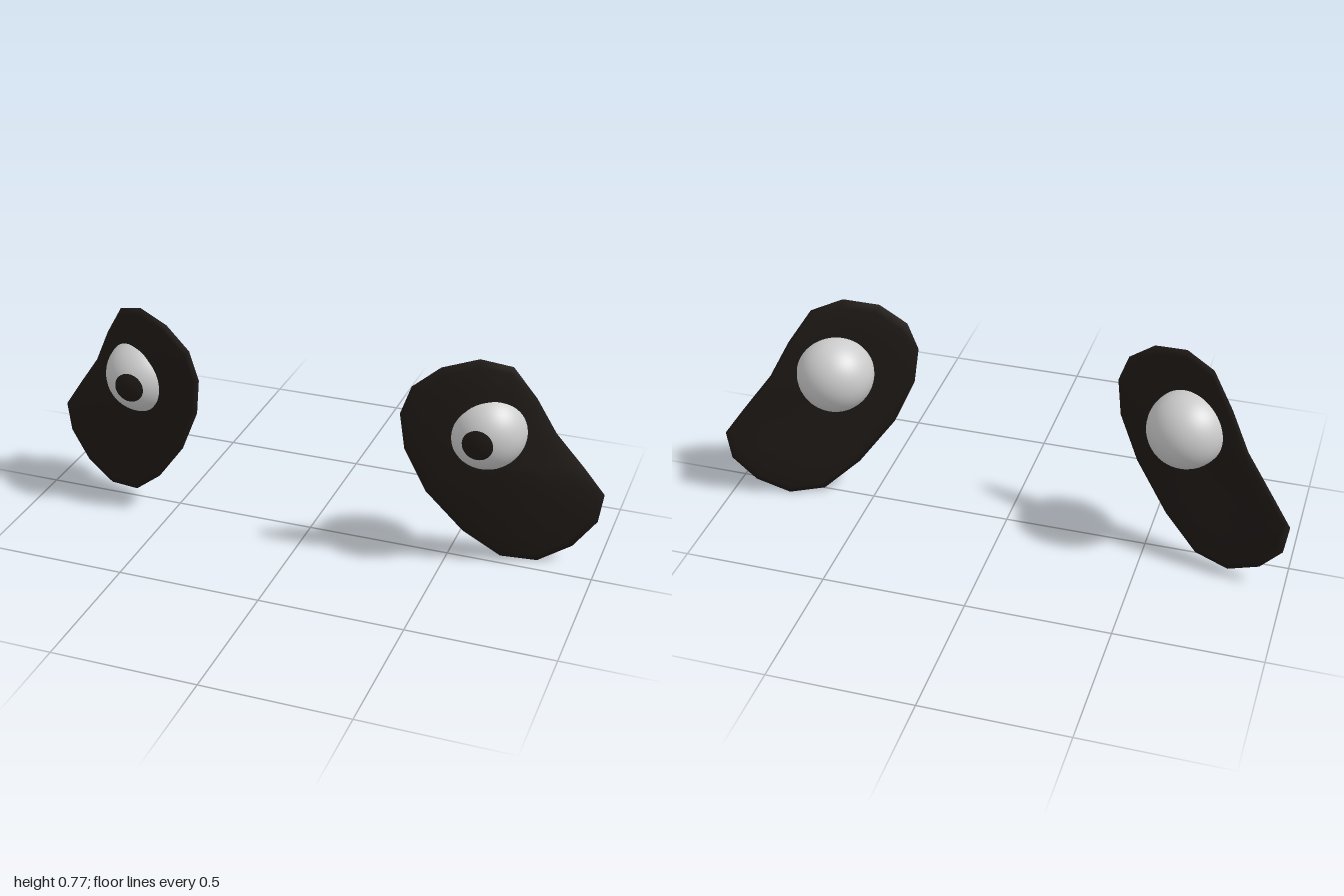
import * as THREE from 'three';

const DARK = 0x1e1916;

// Rim of the left patch, clockwise from the front: x, y, z
const RIM = [
  [0.355, 0.57, 0.125], [0.39, 0.67, 0.118], [0.48, 0.742, 0.095], [0.595, 0.77, 0.05],
  [0.695, 0.737, 0.002], [0.77, 0.62, -0.035], [0.835, 0.49, -0.065], [0.93, 0.36, -0.1],
  [1.0, 0.26, -0.122], [0.985, 0.155, -0.12], [0.91, 0.06, -0.095], [0.8, 0.0, -0.06],
  [0.68, 0.016, -0.02], [0.56, 0.12, 0.035], [0.44, 0.28, 0.09], [0.37, 0.44, 0.115],
];
const CENTRE = [0.66, 0.4, 0.005];

// Section from the middle of the back over the rim to the middle of the front:
// ring scale, z offset. The front is domed, the back nearly flat.
const PROFILE = [
  [0, -0.01], [0.4, -0.012], [0.75, -0.013], [0.93, -0.009], [1, 0],
  [0.93, 0.009], [0.75, 0.018], [0.4, 0.034], [0, 0.04],
];

// Thin, tilted kidney-shaped plate; side = -1 mirrors it
function patchGeometry(side) {
  const n = RIM.length;
  const positions = [];
  const index = [];
  for (const [s, d] of PROFILE) {
    for (const p of RIM) {
      const [x, y, z] = CENTRE.map((c, k) => c + (p[k] - c) * s);
      positions.push(x * side, y, z + d);
    }
  }
  const tri = (a, b, c) => (side > 0 ? index.push(a, b, c) : index.push(a, c, b));
  const last = PROFILE.length - 2;
  for (let r = 0; r <= last; r++) {
    for (let i = 0; i < n; i++) {
      const j = (i + 1) % n;
      const a = r * n + i, b = r * n + j, c = a + n, d = b + n;
      // The first and last rings collapse to a point
      if (r > 0) tri(a, c, b);
      if (r < last) tri(b, c, d);
    }
  }
  const g = new THREE.BufferGeometry();
  g.setAttribute('position', new THREE.Float32BufferAttribute(positions, 3));
  g.setIndex(index);
  g.computeVertexNormals();
  return g;
}

function createEye(side) {
  const eye = new THREE.Group();
  eye.name = side > 0 ? 'leftEye' : 'rightEye';
  const add = (name, geometry, color) => {
    const mesh = new THREE.Mesh(geometry, new THREE.MeshStandardMaterial({ color }));
    mesh.name = name;
    eye.add(mesh);
    return mesh;
  };

  add('eyePatch', patchGeometry(side), DARK);

  const ball = add('eyeball', new THREE.SphereGeometry(0.134, 40, 28), 0xcccccc);
  ball.position.set(0.618 * side, 0.5, 0);

  // Pupil: shallow cap lying on the front of the eyeball
  const cap = new THREE.SphereGeometry(0.136, 32, 6, 0, Math.PI * 2, 0, 0.395);
  cap.rotateX(Math.PI / 2);
  const pupil = add('pupil', cap, DARK);
  pupil.position.copy(ball.position);
  return eye;
}

export function createModel() {
  const model = new THREE.Group();
  model.name = 'eyes';
  for (const side of [1, -1]) model.add(createEye(side));
  return model;
}
